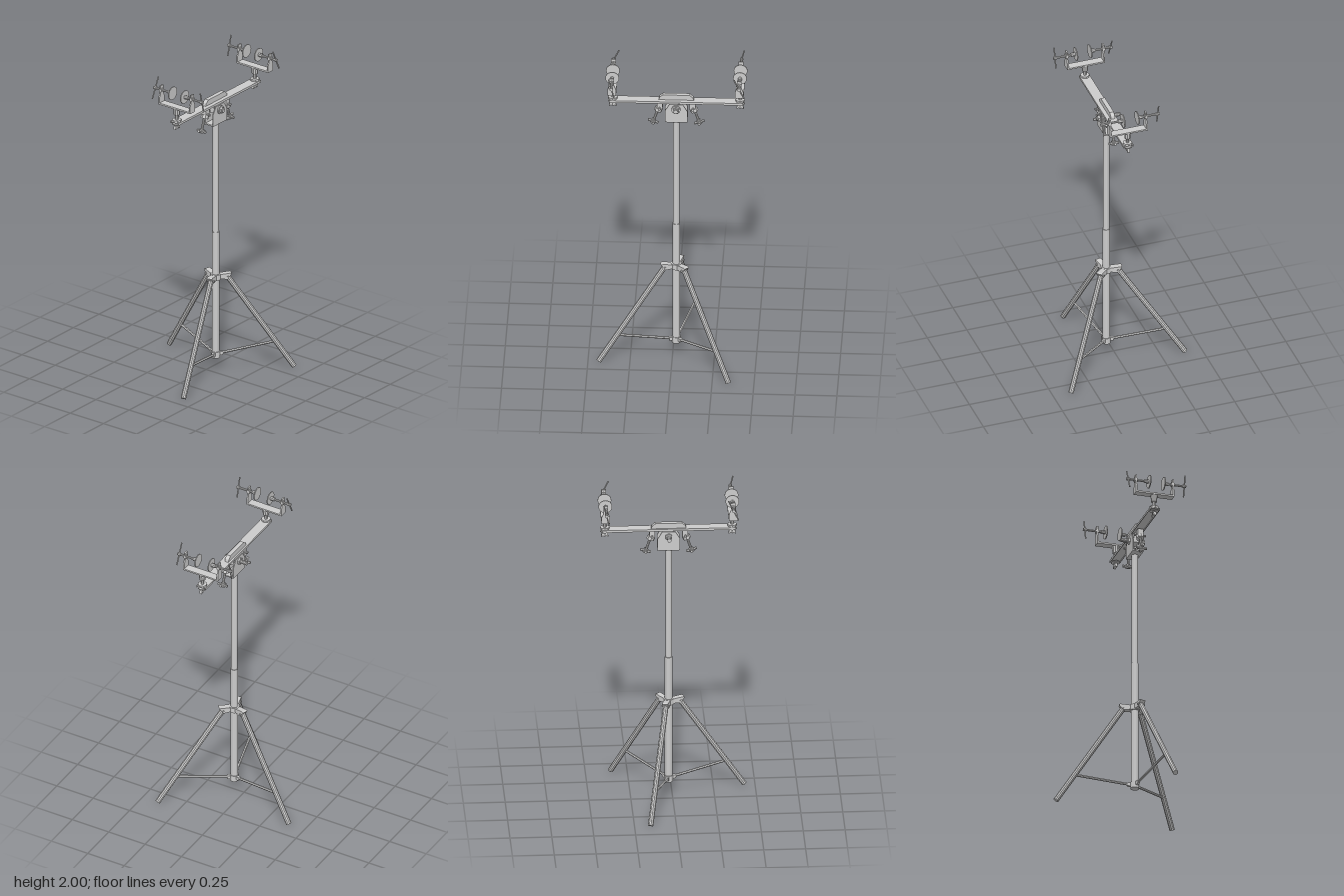
import * as THREE from 'three';

export function createModel() {
  const model = new THREE.Group();
  model.name = 'rollerStand';
  const steel = new THREE.MeshStandardMaterial({ color: 0xcccccc, flatShading: true });
  steel.name = 'light steel grey';
  const CX = 0.022, CZ = 0.055; // mast axis

  const add = (parent, geo, name, x = 0, y = 0, z = 0) => {
    const m = new THREE.Mesh(geo, steel);
    m.name = name;
    m.position.set(x, y, z);
    parent.add(m);
    return m;
  };
  const group = (parent, name, x = 0, y = 0, z = 0) => {
    const g = new THREE.Group();
    g.name = name;
    g.position.set(x, y, z);
    parent.add(g);
    return g;
  };
  const box = (p, name, w, h, d, x, y, z) => add(p, new THREE.BoxGeometry(w, h, d), name, x, y, z);
  // Cylinder between two points
  const rod = (p, name, a, b, r, sides = 10, r2 = r) => {
    const A = new THREE.Vector3(...a), B = new THREE.Vector3(...b);
    const dir = B.clone().sub(A);
    const m = add(p, new THREE.CylinderGeometry(r2, r, dir.length(), sides), name);
    m.position.copy(A).add(B).multiplyScalar(0.5);
    m.quaternion.setFromUnitVectors(new THREE.Vector3(0, 1, 0), dir.normalize());
    return m;
  };
  // Plate with an outline in x and y, centred on z
  const plate = (p, name, pts, depth, x, y, z) => {
    const s = new THREE.Shape(pts.map(([px, py]) => new THREE.Vector2(px, py)));
    const g = new THREE.ExtrudeGeometry(s, { depth, bevelEnabled: false });
    g.translate(0, 0, -depth / 2);
    return add(p, g, name, x, y, z);
  };

  // Telescopic mast
  const mast = group(model, 'mast', CX, 0, CZ);
  rod(mast, 'lowerTube', [0, 0.1, 0], [0, 0.91, 0], 0.023, 12);
  rod(mast, 'upperTube', [0, 0.9, 0], [0, 1.625, 0], 0.019, 12);
  rod(mast, 'bottomCollar', [0, 0.09, 0], [0, 0.13, 0], 0.027, 12);
  rod(mast, 'hubCollar', [0, 0.6, 0], [0, 0.635, 0], 0.033, 12);

  // Three legs with hub brackets and braces
  [166.5, 46, -73.6].forEach((deg, i) => {
    const leg = group(model, 'leg' + (i + 1), CX, 0, CZ);
    leg.rotation.y = -THREE.MathUtils.degToRad(deg);
    rod(leg, 'legTube', [0.47, 0.009, 0], [0.07, 0.615, 0], 0.0165, 10);
    plate(leg, 'hubBracket', [[0.02, 0.605], [0.07, 0.6], [0.095, 0.636], [0.085, 0.64], [0.02, 0.632]], 0.036, 0, 0, 0);
    rod(leg, 'bracketPin', [0.072, 0.615, -0.024], [0.072, 0.615, 0.024], 0.007, 8);
    rod(leg, 'brace', [0.02, 0.115, 0], [0.36, 0.178, 0], 0.008, 6);
    box(leg, 'braceLug', 0.024, 0.022, 0.018, 0.032, 0.116, 0);
  });

  // Tilting head: U bracket with a pivot bolt
  const head = group(model, 'tiltHead', CX, 0, CZ);
  const cheek = [[-0.067, 1.623], [0.067, 1.623], [0.067, 1.7], [0.04, 1.745], [-0.04, 1.745], [-0.067, 1.7]];
  for (const z of [-0.03, 0.03]) plate(head, 'headCheek', cheek, 0.007, 0, 0, z);
  box(head, 'headBase', 0.134, 0.008, 0.06, 0, 1.627, 0);
  rod(head, 'pivotBolt', [0, 1.713, -0.088], [0, 1.713, 0.062], 0.012, 10);
  rod(head, 'pivotWasher', [0, 1.713, 0.033], [0, 1.713, 0.042], 0.027, 16);
  rod(head, 'pivotNut', [0, 1.713, 0.042], [0, 1.713, 0.055], 0.02, 6);
  rod(head, 'backNut', [0, 1.713, -0.045], [0, 1.713, -0.033], 0.022, 6);
  box(head, 'beamLug', 0.07, 0.06, 0.03, 0, 1.725, 0);
  plate(head, 'topRidge', [[-0.105, 1.76], [0.105, 1.76], [0.1, 1.778], [0.08, 1.795], [-0.08, 1.795], [-0.1, 1.778]], 0.026, 0, 0, -0.007);

  // Levelling screws with star knobs
  for (const s of [-1, 1]) {
    const screw = group(model, s < 0 ? 'rightLeveller' : 'leftLeveller', CX, 0, CZ);
    box(screw, 'screwYoke', 0.034, 0.045, 0.034, s * 0.098, 1.725, 0);
    rod(screw, 'yokePin', [s * 0.1, 1.71, -0.036], [s * 0.1, 1.71, 0.036], 0.007, 8);
    rod(screw, 'yokeCollar', [s * 0.102, 1.705, 0], [s * 0.11, 1.685, 0], 0.024, 8);
    rod(screw, 'screwShaft', [s * 0.1, 1.72, 0], [s * 0.14, 1.6, 0], 0.008, 8);
    const knob = group(screw, 'starKnob', s * 0.137, 1.611, 0);
    knob.rotation.z = s * 0.32;
    rod(knob, 'knobHub', [0, -0.012, 0], [0, 0.012, 0], 0.015, 8);
    for (let i = 0; i < 4; i++) {
      const a = (i * Math.PI) / 2;
      rod(knob, 'knobArm', [0, 0, 0], [Math.cos(a) * 0.032, 0, Math.sin(a) * 0.032], 0.008, 6);
    }
  }

  // Cross beam: a shallow channel
  const beam = group(model, 'crossBeam', CX, 0, CZ);
  box(beam, 'beamTop', 0.8, 0.006, 0.062, 0, 1.759, 0);
  for (const z of [-0.029, 0.029]) box(beam, 'beamLip', 0.8, 0.012, 0.004, 0, 1.754, z);

  // Roller cradles; shift moves the screws, tilts turn the front and back handles
  const cradle = (name, x, shift, frontTilt, backTilt) => {
    const c = group(model, name, x, 0, CZ);
    // Swivel stem
    rod(c, 'beamNut', [0, 1.743, 0], [0, 1.749, 0], 0.028, 8);
    rod(c, 'beamWasher', [0, 1.762, 0], [0, 1.774, 0], 0.028, 8);
    rod(c, 'stemBolt', [0, 1.715, 0], [0, 1.81, 0], 0.01, 8);
    plate(c, 'wingNut', [[-0.022, 1.712], [0, 1.722], [0.022, 1.712], [0.018, 1.735], [-0.018, 1.735]], 0.016, 0, 0, 0);
    rod(c, 'stemSocket', [0, 1.805, 0], [0, 1.85, 0], 0.018, 10, 0.022);
    // U frame
    box(c, 'cradleBase', 0.05, 0.01, 0.236, 0, 1.853, 0);
    const arm = [[-0.025, 1.848], [0.025, 1.848], [0.025, 1.89], [0.014, 1.915], [0.014, 1.965], [-0.014, 1.965], [-0.014, 1.915], [-0.025, 1.89]];
    for (const s of [-1, 1]) {
      plate(c, 'cradleArm', arm, 0.009, 0, 0, s * 0.115);
      rod(c, 'armNut', [0, 1.935, s * 0.106], [0, 1.935, s * 0.124], 0.016, 6);
      // Clamp screw with disc and cross handle
      const discZ = s * 0.045 + shift, endZ = s * 0.175 + shift;
      rod(c, 'clampScrew', [0, 1.935, discZ], [0, 1.935, endZ + s * 0.008], 0.007, 8);
      rod(c, 'screwSleeve', [0, 1.935, discZ], [0, 1.935, discZ + s * 0.03], 0.012, 8);
      rod(c, 'clampDisc', [0, 1.935, discZ - 0.003], [0, 1.935, discZ + 0.003], 0.041, 20);
      rod(c, 'handleBoss', [0, 1.935, endZ - 0.01], [0, 1.935, endZ + 0.01], 0.01, 8);
      const t = s > 0 ? frontTilt : backTilt;
      rod(c, 'crossHandle', [-t, 1.872, endZ], [t, 1.998, endZ], 0.0045, 6);
    }
  };
  cradle('rightCradle', -0.357, 0.014, -0.016, 0.03);
  cradle('leftCradle', 0.403, -0.016, -0.03, 0.016);

  return model;
}
